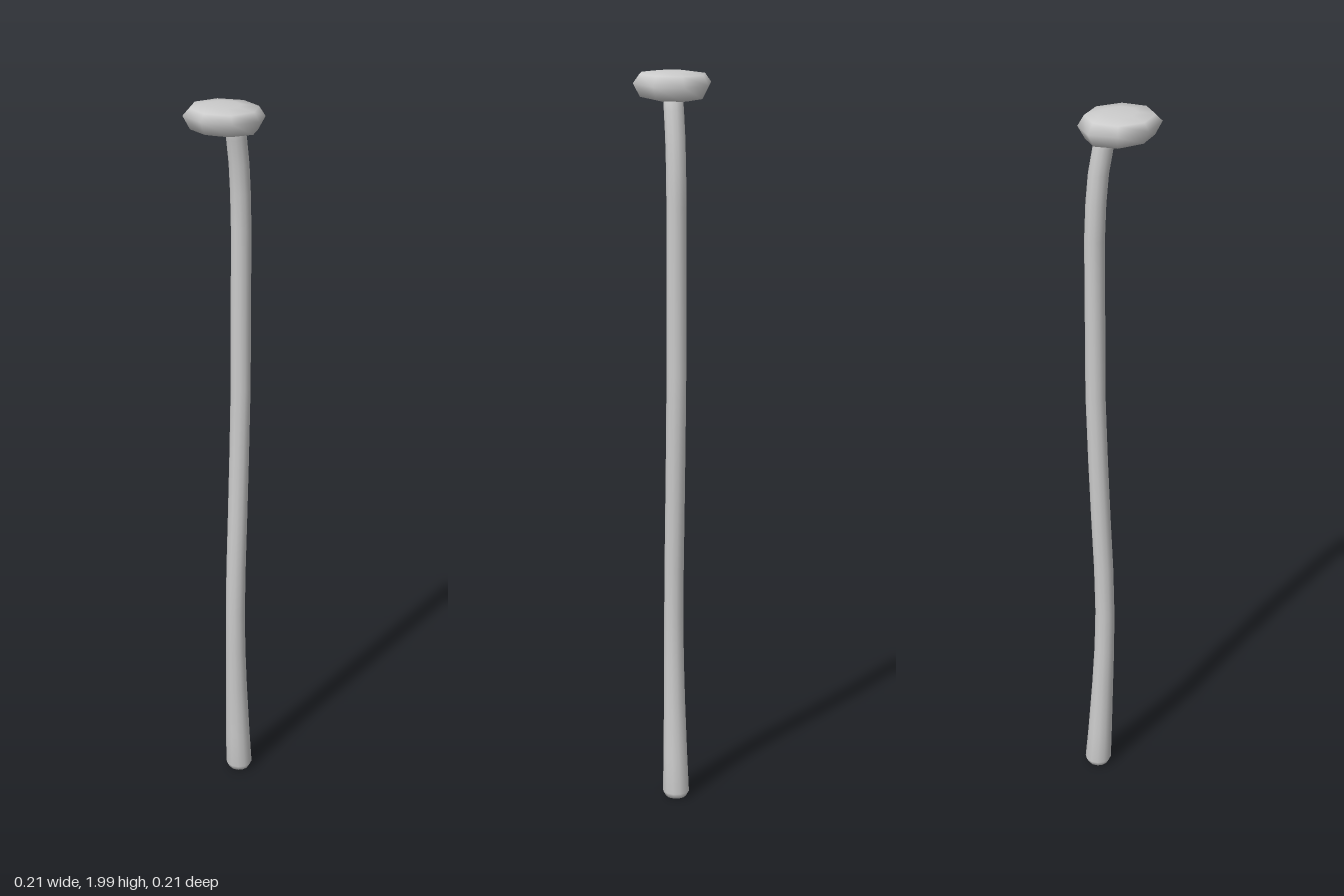
import * as THREE from 'three';
import { mergeVertices } from 'three/addons/utils/BufferGeometryUtils.js';

const material = new THREE.MeshStandardMaterial({ color: 0xcccccc });

// Lathe a [radius, y] profile, then move each vertex by a rule and smooth it
function shapedLathe(name, profile, sides, move) {
  let geo = new THREE.LatheGeometry(profile.map(([r, y]) => new THREE.Vector2(r, y)), sides);
  geo.deleteAttribute('uv');
  geo.deleteAttribute('normal');
  const p = geo.attributes.position;
  const v = new THREE.Vector3();
  for (let i = 0; i < p.count; i++) {
    move(v.fromBufferAttribute(p, i));
    p.setXYZ(i, v.x, v.y, v.z);
  }
  geo = mergeVertices(geo, 1e-5);
  geo.computeVertexNormals();
  const mesh = new THREE.Mesh(geo, material);
  mesh.name = name;
  return mesh;
}

export function createModel() {
  const group = new THREE.Group();
  group.name = 'mushroom';

  // Stem: [radius, y, z of the centre line], bending gently front to back
  const stem = [
    [0, 0.004, -0.064], [0.028, 0.004, -0.064], [0.037, 0.02, -0.064],
    [0.034, 0.12, -0.058], [0.03, 0.28, -0.05], [0.028, 0.4, -0.045],
    [0.027, 0.52, -0.043], [0.027, 0.66, -0.046], [0.027, 0.82, -0.053],
    [0.027, 1.0, -0.06], [0.027, 1.2, -0.066], [0.027, 1.65, -0.066],
    [0.027, 1.75, -0.062], [0.027, 1.83, -0.055], [0.027, 1.9, -0.043],
    [0.026, 1.95, -0.032], [0, 1.955, -0.031],
  ];
  const bend = (y) => {
    const i = Math.max(1, stem.findIndex((s) => s[1] >= y - 1e-6));
    const a = stem[i - 1], b = stem[i];
    return b[1] === a[1] ? b[2] : THREE.MathUtils.mapLinear(y, a[1], b[1], a[2], b[2]);
  };
  group.add(shapedLathe('stem', stem, 12, (v) => {
    v.x += 0.009;
    v.z += bend(v.y);
  }));

  // Cap: flat eight-sided button, its underside rising toward the front
  const cap = [
    [0, 1.92], [0.045, 1.922], [0.088, 1.932], [0.107, 1.967],
    [0.09, 1.99], [0.045, 1.996], [0, 1.997],
  ];
  group.add(shapedLathe('cap', cap, 8, (v) => {
    if (v.y < 1.98) v.y += 0.08 * v.z;
    else v.y += 0.03 * v.z;
  }));

  return group;
}
